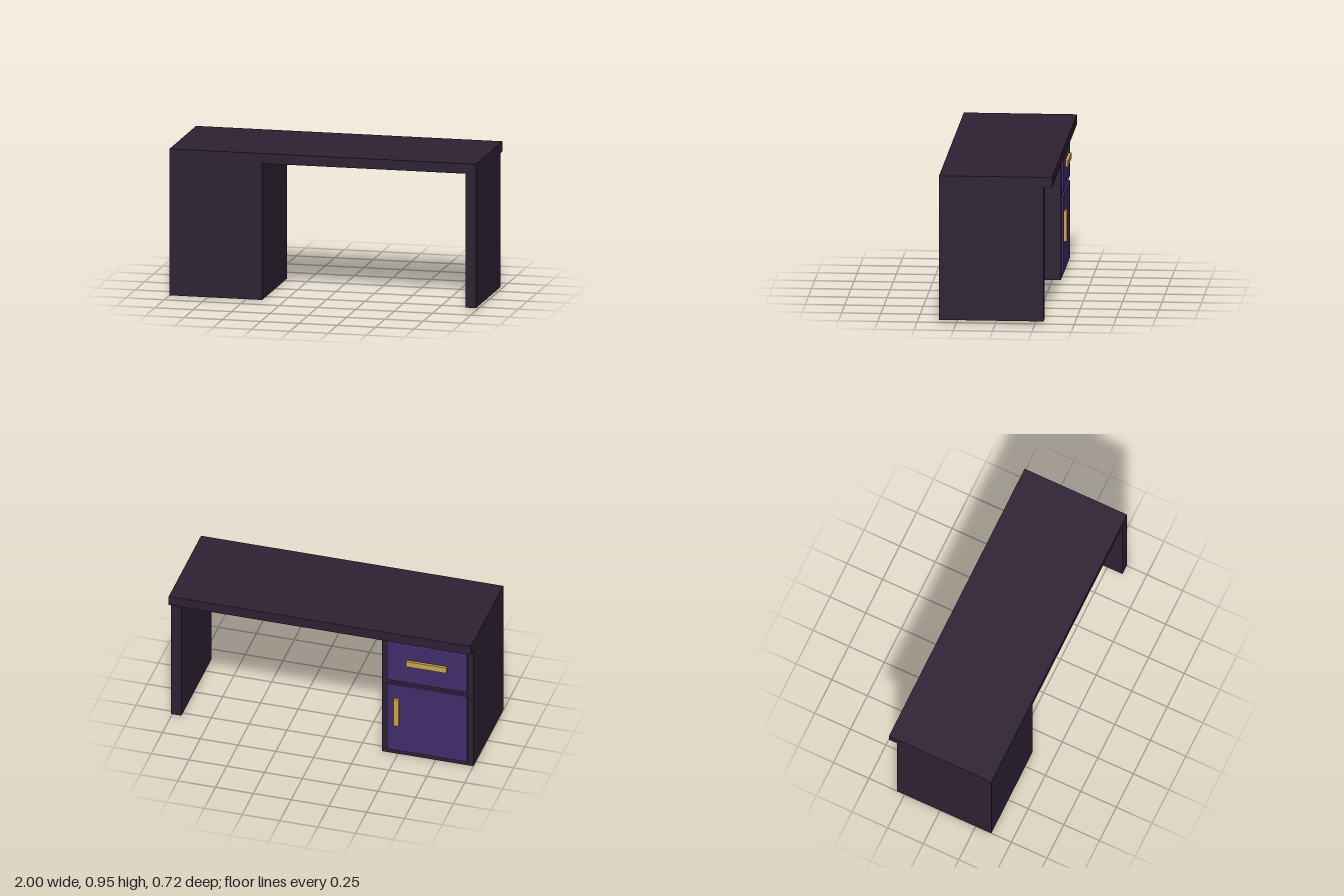
import * as THREE from 'three';

const material = (name, color) => {
  const m = new THREE.MeshStandardMaterial({ color });
  m.name = name;
  return m;
};

export function createModel() {
  const desk = new THREE.Group();
  desk.name = 'desk';

  const darkWood = material('dark wood', 0x2d2133);
  const purple = material('purple panel', 0x412d6b);
  const brass = material('brass', 0xc9a84c);

  // Box given by its extents on each axis
  const box = (name, mat, [x0, x1], [y0, y1], [z0, z1]) => {
    const mesh = new THREE.Mesh(new THREE.BoxGeometry(x1 - x0, y1 - y0, z1 - z0), mat);
    mesh.position.set((x0 + x1) / 2, (y0 + y1) / 2, (z0 + z1) / 2);
    mesh.name = name;
    desk.add(mesh);
  };

  // Carcass: top overhangs the supports on the drawer side
  const depth = [-0.305, 0.36];
  box('deskTop', darkWood, [-1, 1], [0.885, 0.95], [-0.36, 0.36]);
  box('cabinet', darkWood, [-1, -0.395], [0, 0.885], depth);
  box('sideLeg', darkWood, [0.932, 1], [0.017, 0.885], depth);

  // Drawer and door fronts
  const panelX = [-0.963, -0.432], panelZ = [-0.32, -0.305];
  box('drawerFront', purple, panelX, [0.565, 0.87], panelZ);
  box('cabinetDoor', purple, panelX, [0.035, 0.533], panelZ);

  // Bar handles
  const handleZ = [-0.338, -0.32];
  box('drawerHandle', brass, [-0.83, -0.565], [0.698, 0.737], handleZ);
  box('doorHandle', brass, [-0.515, -0.48], [0.231, 0.431], handleZ);

  return desk;
}
